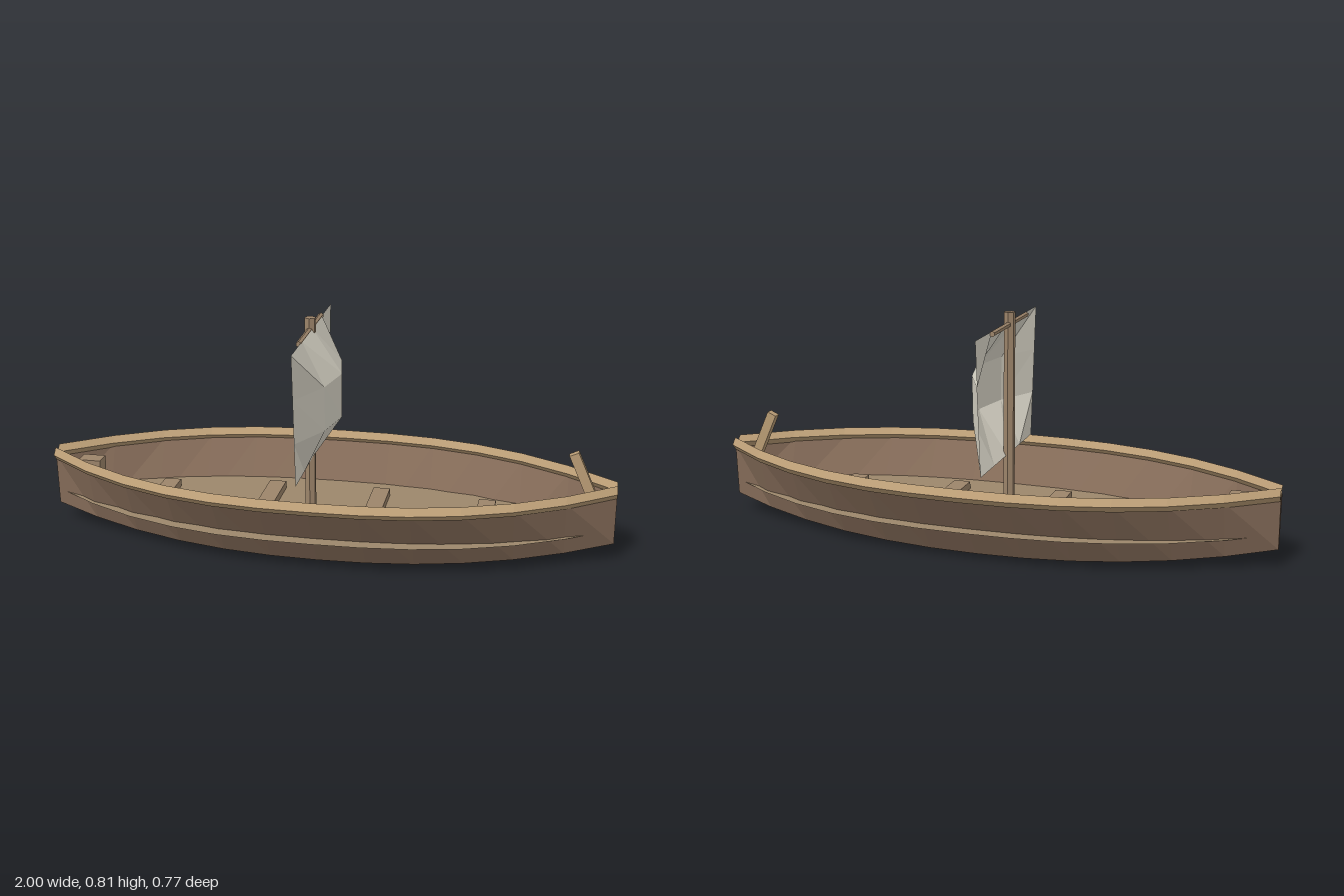
import * as THREE from 'three';

const paint = (color, side = THREE.FrontSide) =>
  new THREE.MeshStandardMaterial({ color, flatShading: true, side });

// Skins a list of cross-sections; closed joins each ring's last point to its first.
function loft(rings, closed, capped = false) {
  const n = rings[0].length, index = [];
  for (let s = 0; s < rings.length - 1; s++) {
    for (let i = 0; i < (closed ? n : n - 1); i++) {
      const a = s * n + i, c = s * n + (i + 1) % n;
      index.push(a, a + n, c, c, a + n, c + n);
    }
  }
  if (capped) {
    const e = (rings.length - 1) * n;
    for (let i = 1; i < n - 1; i++) index.push(0, i, i + 1, e, e + i + 1, e + i);
  }
  const g = new THREE.BufferGeometry();
  g.setAttribute('position', new THREE.Float32BufferAttribute(rings.flat(2), 3));
  g.setIndex(index);
  g.computeVertexNormals();
  return g;
}

// Hull stations from stern to bow, and how full the plan is at each
const stations = Array.from({ length: 13 }, (_, i) => -1 + i / 6);
const fullness = x => 1 - Math.pow(Math.min(1, Math.abs(x)), 2.5);
const rimHalf = x => 0.018 + 0.344 * fullness(x);
const keelHalf = x => 0.008 + 0.182 * fullness(x);

export function createModel() {
  const model = new THREE.Group();
  const wood = paint(0x9c846a), trim = paint(0xb89b74);
  const add = (name, geometry, material, x = 0, y = 0, z = 0) => {
    const mesh = new THREE.Mesh(geometry, material);
    mesh.name = name;
    mesh.position.set(x, y, z);
    model.add(mesh);
    return mesh;
  };

  // Flat-bottomed open hull with flared sides and narrow stems
  const hullRings = stations.map(x => {
    const t = rimHalf(x), b = keelHalf(x), y = 0.065 * x * x;
    return [[x, 0.252, -t], [x, y, -b], [x, y, b], [x, 0.252, t]];
  });
  const hull = loft(hullRings, false, true);
  add('hull', hull, paint(0x846b58, THREE.DoubleSide));

  // Floor boards, running slightly through the hull sides
  const floorY = 0.115;
  const floor = loft(stations.map(x => {
    const h = 0.318 * fullness(x);
    return [[x, floorY, h], [x, floorY, -h]];
  }), false);
  add('floor', floor, paint(0x9c876b, THREE.DoubleSide));

  // Diamond-section gunwale along each side
  for (const side of [-1, 1]) {
    const r = 0.023;
    const rail = stations.map(x => [0, 1, 2, 3].map(k => {
      const a = k * Math.PI / 2;
      return [x, 0.259 + r * Math.sin(a), side * rimHalf(x) + r * Math.cos(a)];
    }));
    add(side > 0 ? 'frontGunwale' : 'backGunwale', loft(rail, true), trim);
  }

  // Low thwarts across the floor
  [0.215, 0.32, 0.32, 0.24].forEach((length, i) =>
    add('thwart', new THREE.BoxGeometry(0.06, 0.03, length), wood, -0.6 + i * 0.385, 0.127, 0));

  // Stern block and raked bow post
  add('sternBlock', new THREE.BoxGeometry(0.08, 0.05, 0.06), wood, -0.87, 0.22, 0);
  const post = add('bowPost', new THREE.BoxGeometry(0.034, 0.18, 0.028), trim, 0.885, 0.3, 0);
  post.rotation.z = 0.42;

  // Mast and yard
  const mastX = -0.06;
  add('mast', new THREE.CylinderGeometry(0.02, 0.02, 0.7, 6), wood, mastX, 0.46, 0);
  const yard = add('yard', new THREE.CylinderGeometry(0.01, 0.01, 0.38, 6), wood, mastX, 0.768, 0);
  yard.rotation.x = Math.PI / 2;

  // Billowing sail, wider at the head than at the foot
  const sailRows = [0, 1, 2, 3].map(row => {
    const v = row / 3, half = 0.287 + 0.053 * v;
    return [0, 1, 2, 3, 4].map(col => {
      const u = col / 4;
      const belly = 0.12 * Math.sin(Math.PI * u) * Math.sin(Math.PI * v);
      return [-0.053 + belly, 0.305 + 0.468 * v, half * (1 - 2 * u)];
    });
  });
  add('sail', loft(sailRows, false), paint(0xdcd8ca, THREE.DoubleSide));

  return model;
}
